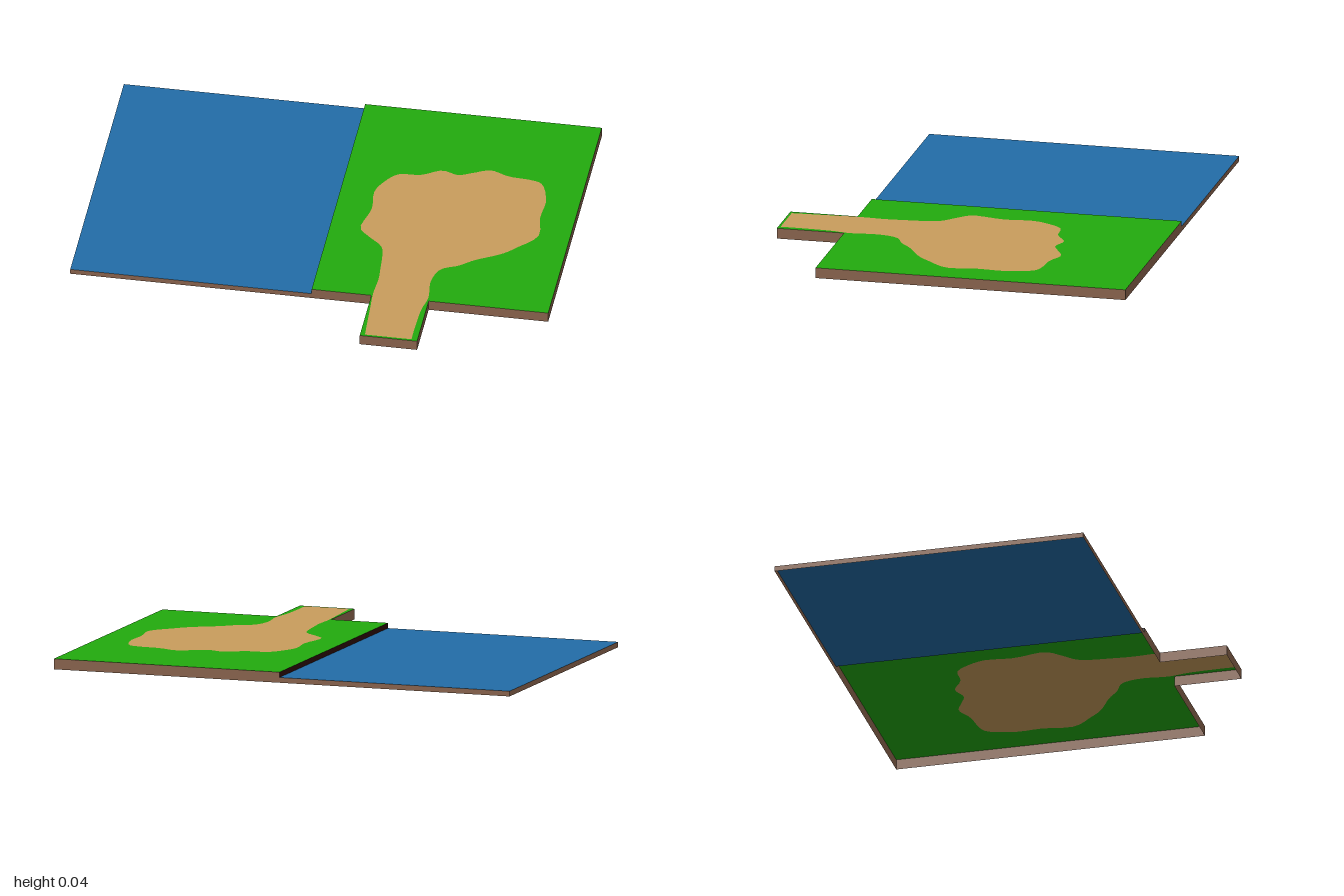
import * as THREE from 'three';

const WATER_Y = 0.022, LAND_Y = 0.044;
const SHORE = 0.01, BACK = -0.8, FRONT = 0.515, PIER = 0.8;

const material = (name, color) =>
  new THREE.MeshStandardMaterial({ name, color, side: THREE.DoubleSide });

const vectors = (points) => points.map(([x, z]) => new THREE.Vector2(x, -z));

// Flat horizontal sheet from a plan shape
function sheet(name, shape, y, mat) {
  const geometry = new THREE.ShapeGeometry(shape, 3);
  geometry.rotateX(-Math.PI / 2).translate(0, y, 0);
  const mesh = new THREE.Mesh(geometry, mat);
  mesh.name = name;
  return mesh;
}

// Upright band following a plan path, facing outwards
function band(name, path, bottom, top, mat) {
  const positions = [];
  for (let i = 0; i + 1 < path.length; i++) {
    const [ax, az] = path[i], [bx, bz] = path[i + 1];
    positions.push(ax, bottom, az, bx, bottom, bz, bx, top, bz);
    positions.push(ax, bottom, az, bx, top, bz, ax, top, az);
  }
  const geometry = new THREE.BufferGeometry();
  geometry.setAttribute('position', new THREE.Float32BufferAttribute(positions, 3));
  geometry.computeVertexNormals();
  const mesh = new THREE.Mesh(geometry, mat);
  mesh.name = name;
  return mesh;
}

export function createModel() {
  const water = material('water blue', 0x226da8);
  const grass = material('grass green', 0x22ab0e);
  const sand = material('sand', 0xc99d5c);
  const earth = material('earth brown', 0x85604a);
  const bank = material('dark bank', 0x2a0a08);

  const group = new THREE.Group();
  group.name = 'shoreTile';

  // Plan outlines as [x, z]
  const waterEdge = [[SHORE, BACK], [-1, BACK], [-1, FRONT], [SHORE, FRONT]];
  const landEdge = [
    [SHORE, FRONT], [0.26, FRONT], [0.26, PIER], [0.5, PIER],
    [0.5, FRONT], [1, FRONT], [1, BACK], [SHORE, BACK],
  ];
  const sandEdge = [
    [0.28, 0.79], [0.27, 0.6], [0.265, 0.5], [0.27, 0.4], [0.265, 0.32],
    [0.255, 0.21], [0.235, 0.16], [0.18, 0.11], [0.135, 0.05], [0.16, -0.08],
    [0.15, -0.2], [0.18, -0.28], [0.23, -0.34], [0.32, -0.35], [0.4, -0.395],
    [0.47, -0.375], [0.53, -0.4], [0.6, -0.43], [0.68, -0.4], [0.78, -0.39],
    [0.83, -0.36], [0.86, -0.25], [0.855, -0.14], [0.87, -0.01], [0.8, 0.08],
    [0.74, 0.14], [0.64, 0.2], [0.58, 0.25], [0.51, 0.29], [0.485, 0.38],
    [0.495, 0.49], [0.48, 0.58], [0.475, 0.7], [0.475, 0.79],
  ];

  // Sand clearing and path, cut out of the grass
  const [start, ...rest] = vectors(sandEdge);
  const sandShape = new THREE.Shape();
  sandShape.moveTo(start.x, start.y).splineThru(rest);
  sandShape.closePath();
  const grassShape = new THREE.Shape(vectors(landEdge));
  grassShape.holes.push(sandShape);

  group.add(
    sheet('waterSurface', new THREE.Shape(vectors(waterEdge)), WATER_Y, water),
    sheet('grassSurface', grassShape, LAND_Y, grass),
    sheet('sandPath', sandShape, LAND_Y, sand),
    // Earth skirts, open underneath
    band('waterSkirt', waterEdge, 0, WATER_Y, earth),
    band('landSkirt', landEdge, 0, LAND_Y, earth),
    // Step between the water and the land
    band('shoreBank', [[SHORE, BACK], [SHORE, FRONT]], WATER_Y, LAND_Y, bank),
  );
  return group;
}
